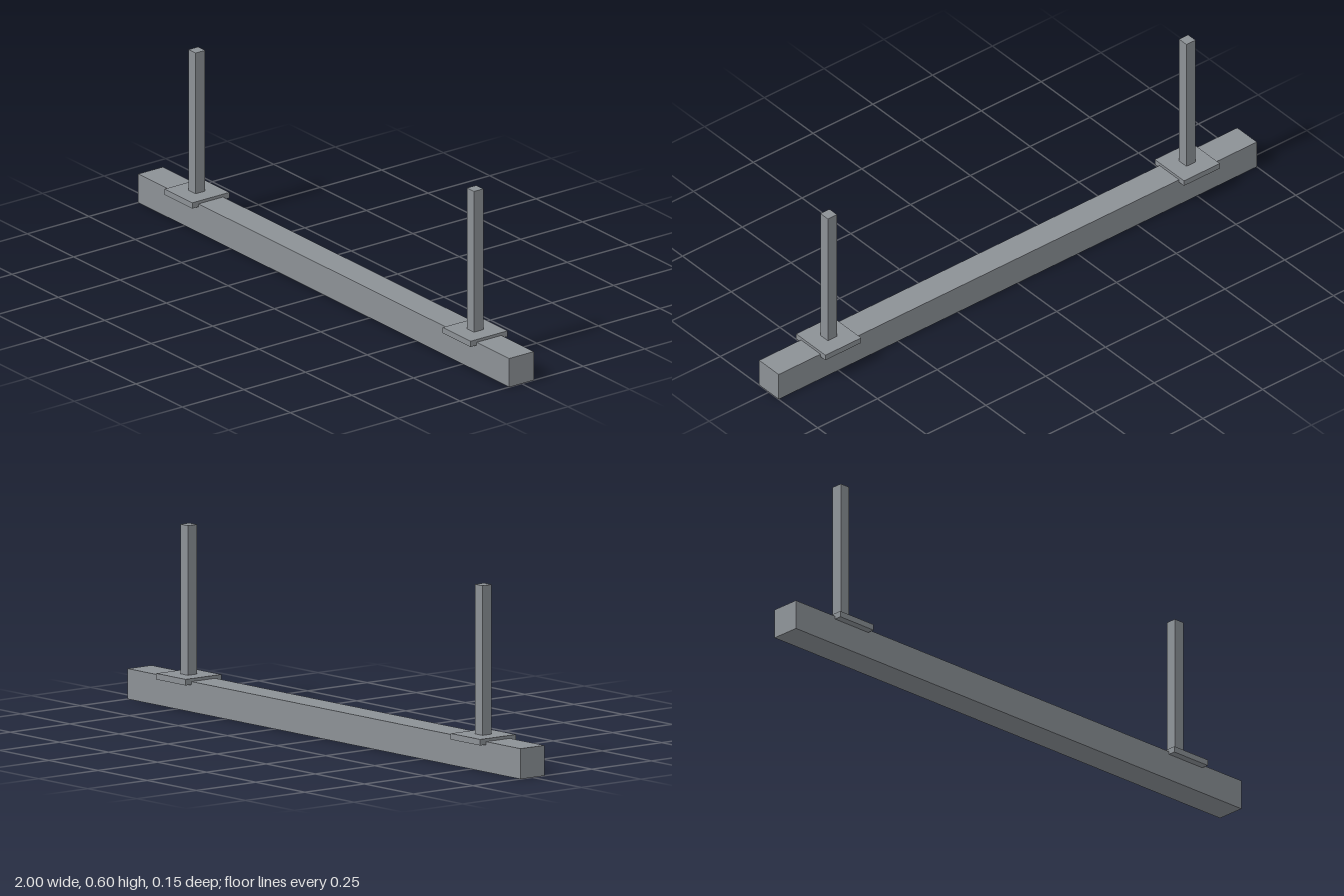
import * as THREE from 'three';

export function createModel() {
  const model = new THREE.Group();
  model.name = 'beamWithPosts';

  const steel = new THREE.MeshStandardMaterial({ color: 0x8c9196 });
  steel.name = 'steel grey';

  // Box standing on a given base height
  const addBox = (parent, name, width, height, depth, baseY) => {
    const mesh = new THREE.Mesh(new THREE.BoxGeometry(width, height, depth), steel);
    mesh.name = name;
    mesh.position.y = baseY + height / 2;
    parent.add(mesh);
  };

  // Long square beam
  addBox(model, 'beam', 2, 0.1, 0.1, 0);

  // A base plate let into the beam, with an upright post, near each end
  for (const side of [-1, 1]) {
    const support = new THREE.Group();
    support.name = side > 0 ? 'leftSupport' : 'rightSupport';
    support.position.x = side * 0.75;
    addBox(support, 'basePlate', 0.15, 0.02, 0.15, 0.09);
    addBox(support, 'post', 0.038, 0.492, 0.038, 0.11);
    model.add(support);
  }

  return model;
}
